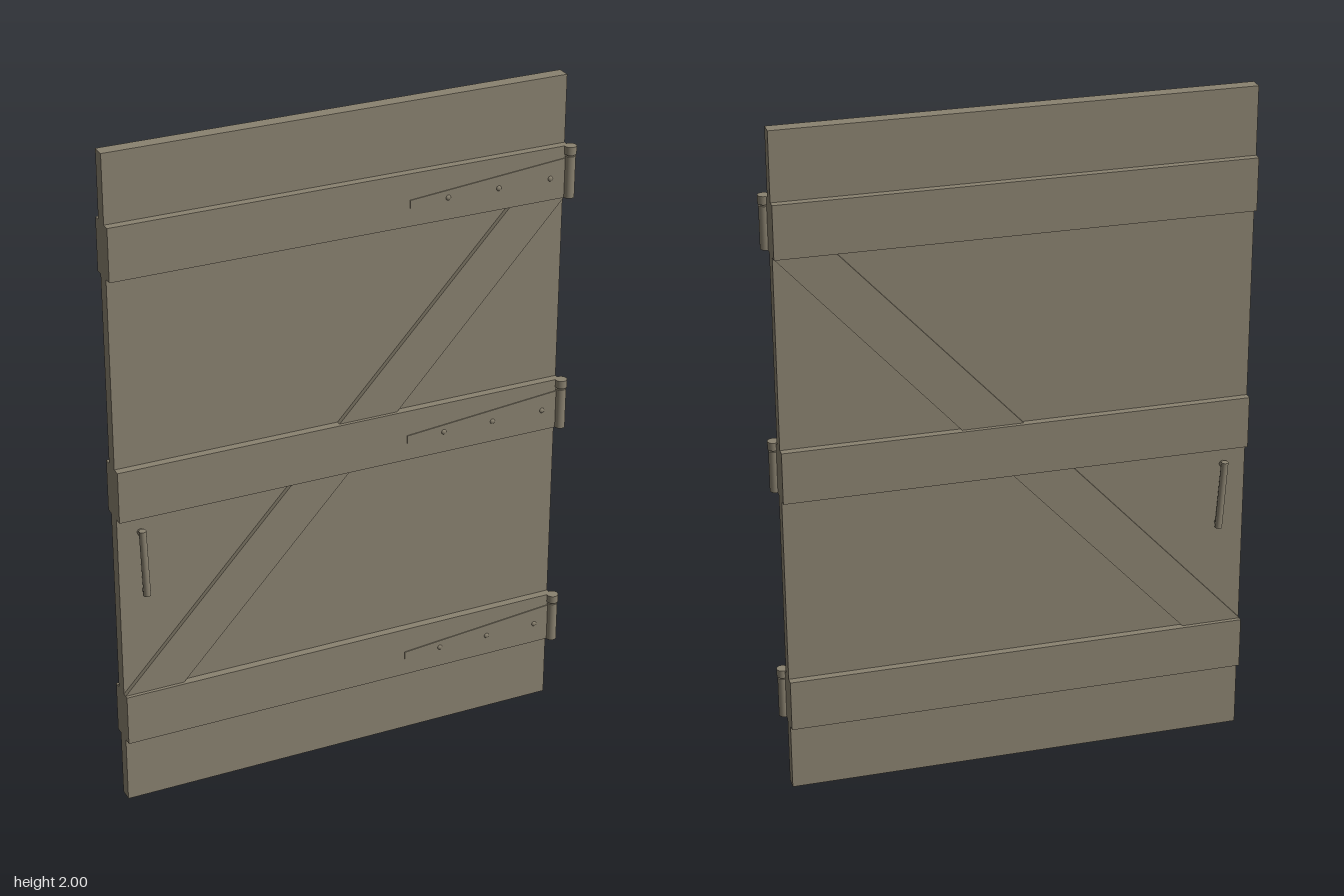
import * as THREE from 'three';

const wood = new THREE.MeshStandardMaterial({ color: 0x8a8270 });
wood.name = 'weathered wood';

const LEFT = -0.69, RIGHT = 0.666;
const SLAB_BACK = -0.027, SLAB_FRONT = 0.013;
const BATTEN_H = 0.155;
const BATTENS = [0.204, 0.925, 1.646]; // bottom heights of the cross boards

function add(parent, name, geometry, x = 0, y = 0, z = 0) {
  const mesh = new THREE.Mesh(geometry, wood);
  mesh.name = name;
  mesh.position.set(x, y, z);
  parent.add(mesh);
  return mesh;
}

// Box spanning two corners
function board(parent, name, x0, x1, y0, y1, z0, z1) {
  return add(parent, name, new THREE.BoxGeometry(x1 - x0, y1 - y0, z1 - z0),
    (x0 + x1) / 2, (y0 + y1) / 2, (z0 + z1) / 2);
}

// Flat outline with thickness from z0 to z1
function plate(parent, name, points, z0, z1) {
  const shape = new THREE.Shape(points.map(([x, y]) => new THREE.Vector2(x, y)));
  const geometry = new THREE.ExtrudeGeometry(shape, { depth: z1 - z0, bevelEnabled: false });
  return add(parent, name, geometry, 0, 0, z0);
}

// Cylinder running between two points
function rod(parent, name, a, b, radius, sides = 16) {
  const dir = b.clone().sub(a);
  const mesh = add(parent, name, new THREE.CylinderGeometry(radius, radius, dir.length(), sides));
  mesh.position.copy(a).add(b).multiplyScalar(0.5);
  mesh.quaternion.setFromUnitVectors(new THREE.Vector3(0, 1, 0), dir.normalize());
  return mesh;
}

// Strap hinge: tapered strap, nails, knuckle, pin and pin head
function hinge(base) {
  const group = new THREE.Group();
  group.name = 'hinge';
  const mid = base + 0.066, pinX = 0.67, pinZ = 0.04;
  plate(group, 'strap', [
    [0.18, mid - 0.012], [0.66, mid - 0.054], [0.66, mid + 0.054], [0.18, mid + 0.012],
  ], 0.036, 0.040);
  for (const x of [0.295, 0.45, 0.61]) {
    const nail = add(group, 'nail', new THREE.SphereGeometry(0.008, 12, 8), x, mid, 0.039);
    nail.scale.z = 0.6;
  }
  add(group, 'knuckle', new THREE.CylinderGeometry(0.0155, 0.0155, 0.124, 20), pinX, base + 0.064, pinZ);
  add(group, 'pin', new THREE.CylinderGeometry(0.011, 0.011, 0.03, 16), pinX, base + 0.128, pinZ);
  add(group, 'pinHead', new THREE.CylinderGeometry(0.0175, 0.0175, 0.024, 20), pinX, base + 0.143, pinZ);
  return group;
}

// Slightly tilted pull handle, held by two short posts
function handle(name, face, side) {
  const group = new THREE.Group();
  group.name = name;
  const top = new THREE.Vector3(-0.623, 0.884, face + side * 0.020);
  const bottom = new THREE.Vector3(-0.613, 0.672, face + side * 0.012);
  rod(group, 'grip', bottom, top, 0.0105);
  for (const t of [0.06, 0.94]) {
    const p = bottom.clone().lerp(top, t);
    rod(group, 'post', new THREE.Vector3(p.x, p.y, face - side * 0.004), p, 0.0095, 12);
  }
  return group;
}

export function createModel() {
  const door = new THREE.Group();
  door.name = 'plankDoor';

  board(door, 'slab', LEFT, RIGHT, 0, 2, SLAB_BACK, SLAB_FRONT);

  // Cross boards and diagonal braces on both faces
  const sides = [
    { name: 'front', batten: [SLAB_FRONT, 0.037], brace: [SLAB_FRONT, 0.027] },
    { name: 'back', batten: [-0.049, SLAB_BACK], brace: [-0.037, SLAB_BACK] },
  ];
  const braceX = (y) => LEFT + (y - 0.359) * 0.922; // upper edge of the diagonal
  for (const { name, batten, brace } of sides) {
    for (const y of BATTENS) board(door, name + 'Batten', LEFT, RIGHT, y, y + BATTEN_H, ...batten);
    for (let i = 0; i < 2; i++) {
      const y0 = BATTENS[i] + BATTEN_H, y1 = BATTENS[i + 1];
      const a = braceX(y0), b = braceX(y1), w = 0.178;
      plate(door, name + 'Brace',
        [[a, y0], [a + w, y0], [Math.min(b + w, RIGHT), y1], [b, y1]], ...brace);
    }
  }

  for (const y of BATTENS) door.add(hinge(y));

  door.add(handle('frontHandle', SLAB_FRONT, 1));
  door.add(handle('backHandle', SLAB_BACK, -1));
  return door;
}
